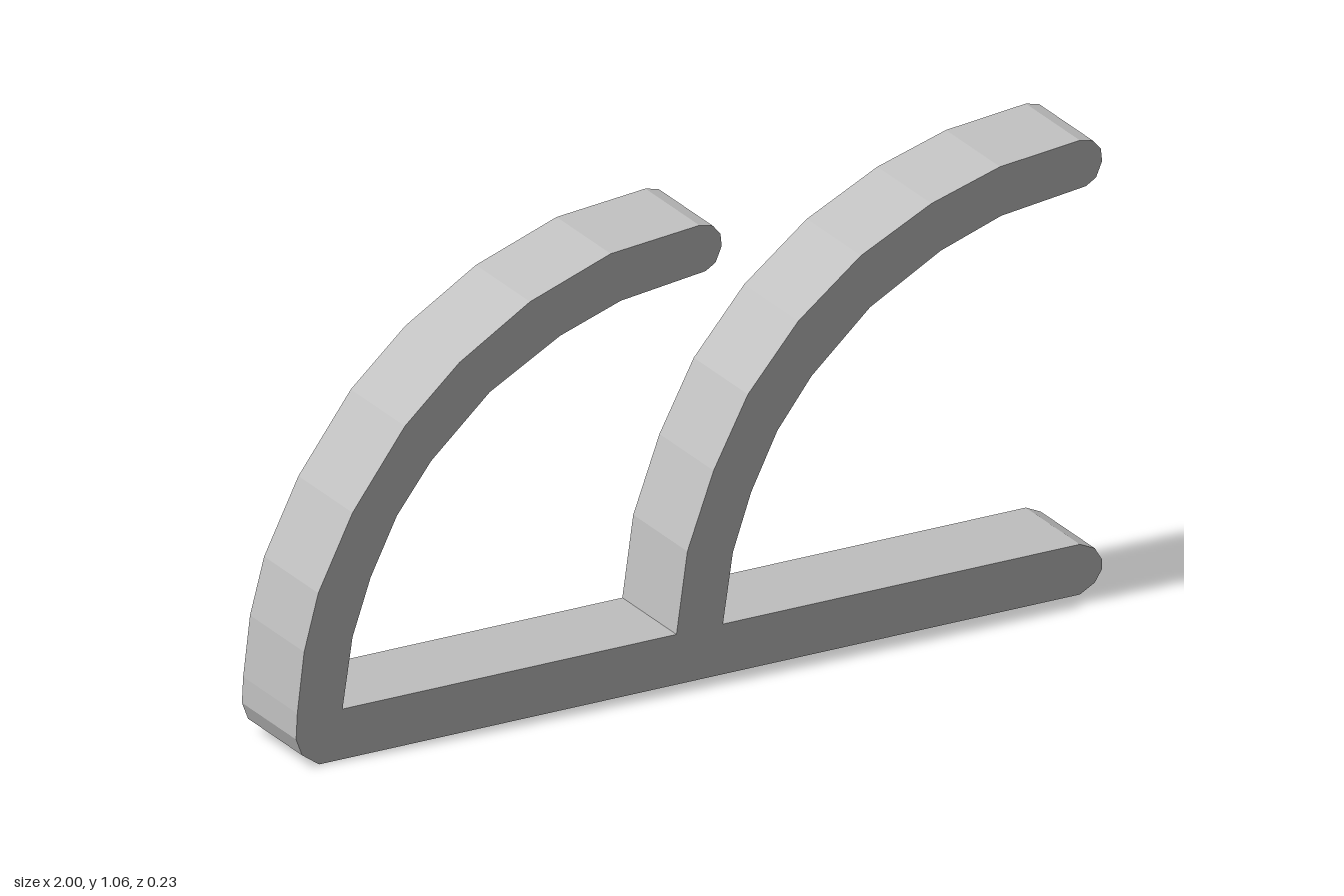
import * as THREE from 'three';

const DEPTH = 0.234;
const PITCH = 0.943; // spacing between the two curved arms

// underside of an arm, from the base up to the rounded tip
const armInner = [
  [-0.885, 0.117], [-0.86, 0.28], [-0.815, 0.41], [-0.75, 0.54], [-0.665, 0.65],
  [-0.52, 0.78], [-0.345, 0.875], [-0.195, 0.925], [0.015, 0.95],
];
const armTip = [[0.04, 0.965], [0.055, 1.0], [0.052, 1.03], [0.033, 1.052], [0, 1.06]];

// upper side of each arm, from the tip back down
const rearOuter = [
  [-0.22, 1.04], [-0.42, 0.97], [-0.595, 0.865], [-0.73, 0.745],
  [-0.86, 0.57], [-0.945, 0.4], [-0.98, 0.27], [-0.997, 0.13],
];
const frontOuter = [
  [0.745, 1.04], [0.575, 0.99], [0.4, 0.905], [0.245, 0.785],
  [0.12, 0.64], [0.035, 0.48], [-0.03, 0.305], [-0.057, 0.117],
];

// rounded ends of the base bar
const baseEnd = [[0.943, 0], [0.98, 0.02], [0.998, 0.048], [0.998, 0.07], [0.98, 0.1], [0.943, 0.117]];
const heel = [[-1, 0.07], [-0.985, 0.03], [-0.943, 0]];

const shift = (points) => points.map(([x, y]) => [x + PITCH, y]);

export function createModel() {
  const group = new THREE.Group();
  group.name = 'doubleHook';

  const grey = new THREE.MeshStandardMaterial({ color: 0xbfbfbf });
  grey.name = 'plain grey';
  grey.flatShading = true;

  // base bar and both arms form one continuous outline
  const outline = [
    ...baseEnd,
    ...shift(armInner), ...shift(armTip), ...frontOuter,
    ...armInner, ...armTip, ...rearOuter,
    ...heel,
  ];
  const shape = new THREE.Shape(outline.map(([x, y]) => new THREE.Vector2(x, y)));
  const geometry = new THREE.ExtrudeGeometry(shape, { depth: DEPTH, bevelEnabled: false });
  geometry.translate(0, 0, -DEPTH / 2);

  const body = new THREE.Mesh(geometry, grey);
  body.name = 'hookBody';
  group.add(body);
  return group;
}
